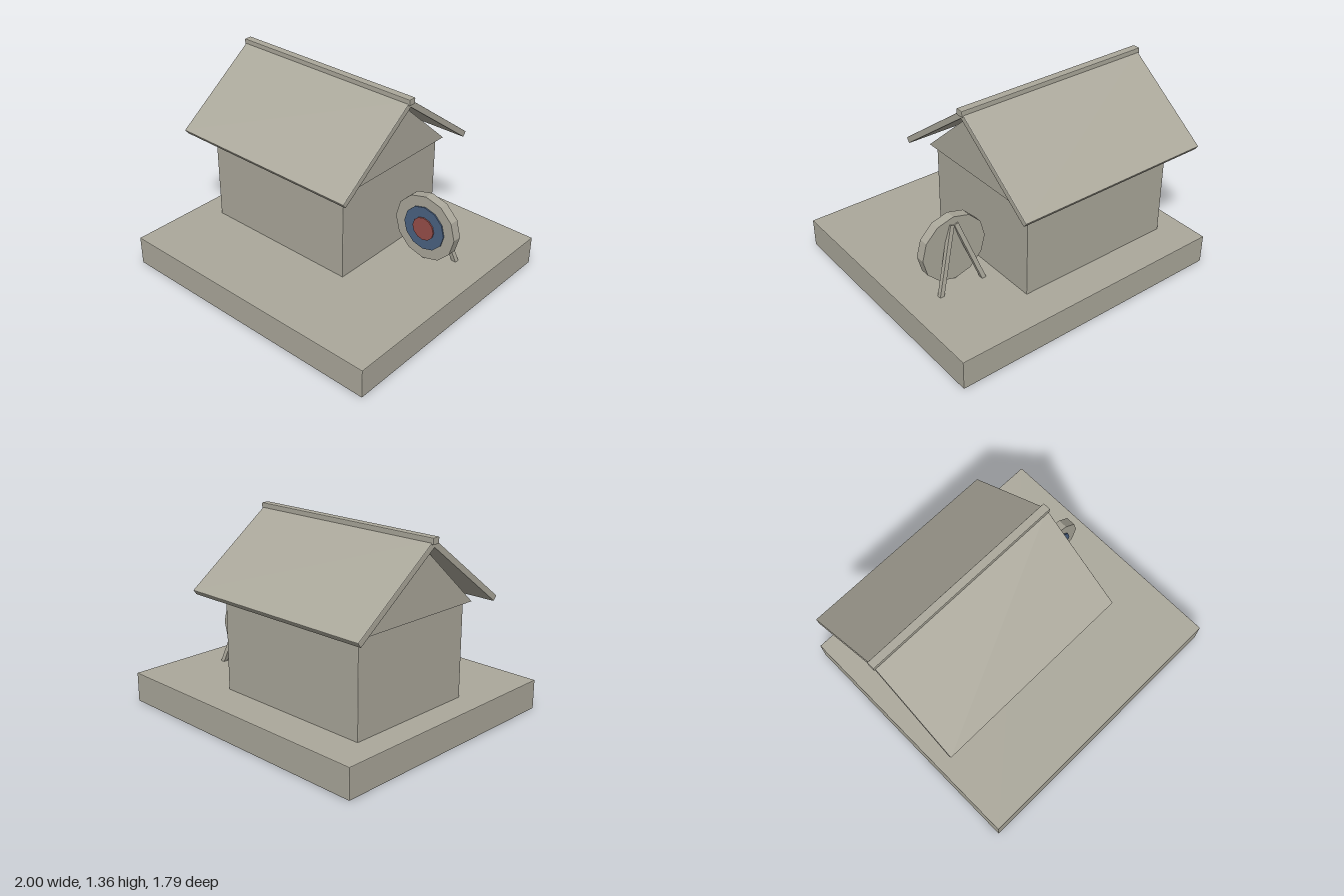
import * as THREE from 'three';
import { RoundedBoxGeometry } from 'three/addons/geometries/RoundedBoxGeometry.js';

export function createModel() {
  const model = new THREE.Group();
  model.name = 'archeryHut';
  const makeMat = (name, color) => {
    const m = new THREE.MeshStandardMaterial({ color, flatShading: true });
    m.name = name;
    return m;
  };
  const stone = makeMat('warmGrey', 0xaba89b);
  const blue = makeMat('blue', 0x4b6282);
  const red = makeMat('red', 0x974e4a);

  const add = (name, geo, mat, x, y, z, parent = model) => {
    const mesh = new THREE.Mesh(geo, mat);
    mesh.name = name;
    mesh.position.set(x, y, z);
    parent.add(mesh);
    return mesh;
  };
  // Box with a fine chamfer along its edges
  const block = (w, h, d) => new RoundedBoxGeometry(w, h, d, 1, 0.005);

  // Plinth and walls
  const ridgeZ = -0.167;
  add('base', block(2, 0.205, 1.79), stone, 0, 0.1025, 0);
  add('walls', block(1.15, 0.65, 0.945), stone, -0.245, 0.525, ridgeZ);

  // Triangular gable at each end of the house
  const triangle = new THREE.Shape();
  triangle.moveTo(-0.508, 0);
  triangle.lineTo(0.508, 0);
  triangle.lineTo(0, 0.453);
  triangle.closePath();
  const gableGeo = new THREE.ExtrudeGeometry(triangle, { depth: 0.075, bevelEnabled: false });
  gableGeo.translate(0, 0, -0.0375);
  gableGeo.rotateY(Math.PI / 2);
  for (const x of [-0.82, 0.325]) add('gable', gableGeo, stone, x, 0.845, ridgeZ);

  // Two sloping roof slabs and the ridge beam
  const slabGeo = block(1.425, 0.041, 0.77);
  for (const s of [1, -1]) {
    const slab = add('roofSlab', slabGeo, stone, -0.247, 1.093, ridgeZ + s * 0.304);
    slab.rotation.x = s * 0.638;
  }
  add('ridgeBeam', block(1.445, 0.042, 0.055), stone, -0.247, 1.334, ridgeZ);

  // Round target facing the front
  const target = new THREE.Group();
  target.name = 'target';
  target.position.set(0.6, 0.46, 0);
  model.add(target);
  const disc = (name, radius, z0, z1, mat) => {
    const geo = new THREE.CylinderGeometry(radius, radius, z1 - z0, 12);
    geo.rotateX(Math.PI / 2);
    add(name, geo, mat, 0, 0, (z0 + z1) / 2, target);
  };
  disc('targetBoard', 0.235, -0.254, -0.188, stone);
  disc('targetRing', 0.158, -0.188, -0.179, blue);
  disc('bullseye', 0.083, -0.179, -0.17, red);

  // Splayed rear legs, meeting behind the top of the board
  for (const s of [1, -1]) {
    const foot = new THREE.Vector3(0.6 + s * 0.163, 0.2, -0.328);
    const top = new THREE.Vector3(0.6 + s * 0.015, 0.64, -0.25);
    const dir = top.clone().sub(foot);
    const mid = foot.clone().add(top).multiplyScalar(0.5);
    const leg = add('targetLeg', new THREE.BoxGeometry(0.03, dir.length(), 0.03), stone, mid.x, mid.y, mid.z);
    leg.quaternion.setFromUnitVectors(new THREE.Vector3(0, 1, 0), dir.normalize());
  }
  return model;
}
